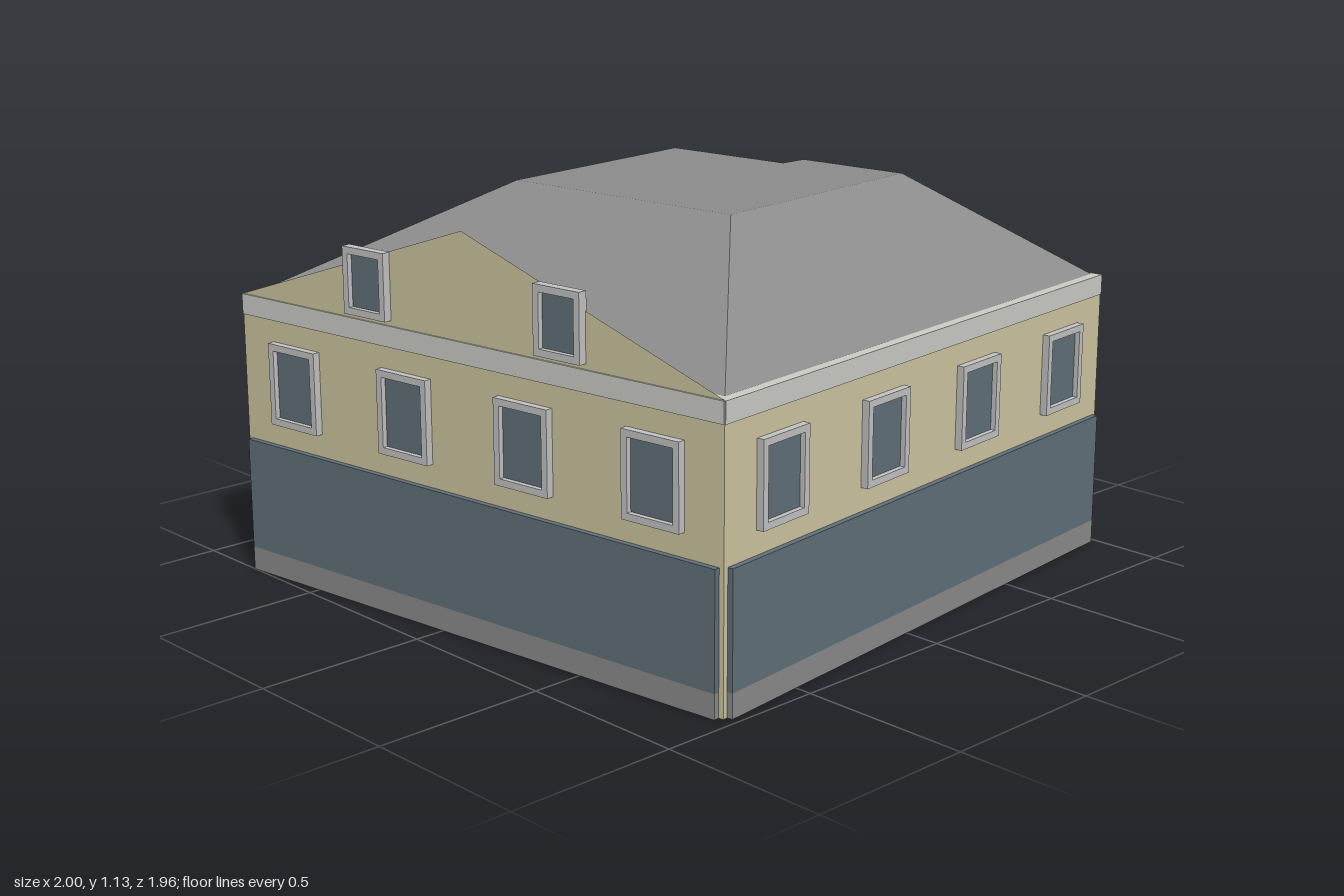
import * as THREE from 'three';

const mat = (name, color, side = THREE.FrontSide) => {
  const m = new THREE.MeshStandardMaterial({ color, side });
  m.name = name;
  return m;
};

export function createModel() {
  const M = {
    wall: mat('cream wall', 0xcfc6a1),
    gable: mat('cream gable', 0xcfc6a1, THREE.DoubleSide),
    trim: mat('pale trim', 0xcdcdc8),
    frame: mat('window frame grey', 0xc4c4c4),
    glass: mat('blue grey glass', 0x62707a),
    roof: mat('slate grey', 0x8c8c8c, THREE.DoubleSide),
  };
  const model = new THREE.Group();
  model.name = 'cornerBuilding';

  const add = (parent, name, geo, material, x = 0, y = 0, z = 0) => {
    const mesh = new THREE.Mesh(geo, material);
    mesh.name = name;
    mesh.position.set(x, y, z);
    parent.add(mesh);
    return mesh;
  };

  // Footprint corners (x, z), walked with the outside on the right
  const D = [-0.78, 0.965], C = [0.995, 0.76], E = [0.905, -0.04];
  const F = [0.7, -0.03], B = [0.6, -0.982], A = [-0.985, -0.795];
  const EAVE = 0.83, RIDGE = 1.13;

  const plan = new THREE.Shape([D, C, E, F, B, A].map(([x, z]) => new THREE.Vector2(x, -z)));
  const slab = (depth) =>
    new THREE.ExtrudeGeometry(plan, { depth, bevelEnabled: false }).rotateX(-Math.PI / 2);
  add(model, 'walls', slab(EAVE - 0.008), M.wall);
  add(model, 'eavesCap', slab(0.008), M.trim, 0, EAVE - 0.008, 0);

  // Hipped roof with a stepped right side, each facet listed by its corners
  const p = (x, z, y = EAVE + 0.001) => [x, y, z];
  const [d, c, e, f, b, a] = [
    p(-0.752, 0.937), p(0.975, 0.737), p(0.892, -0.036), p(0.7, -0.03), p(0.594, -0.955), p(-0.952, -0.775),
  ];
  const [rd, rc, re, rf, rb, ra] = [
    p(-0.22, 0.42, RIDGE), p(0.58, 0.33, RIDGE), p(0.54, -0.03, RIDGE),
    p(0.45, -0.03, RIDGE), p(0.4, -0.45, RIDGE), p(-0.31, -0.37, RIDGE),
  ];
  const facets = [
    [d, c, rc, rd], [c, e, re, rc], [e, f, rf, re], [f, b, rb, rf],
    [b, a, ra, rb], [a, d, rd, ra], [rd, rc, re, rf], [rd, rf, rb, ra],
  ];
  const verts = [];
  for (const q of facets) {
    for (let i = 1; i < q.length - 1; i++) verts.push(...q[0], ...q[i], ...q[i + 1]);
  }
  const roofGeo = new THREE.BufferGeometry();
  roofGeo.setAttribute('position', new THREE.Float32BufferAttribute(verts, 3));
  roofGeo.computeVertexNormals();
  add(model, 'hippedRoof', roofGeo, M.roof);

  // A facade group: local x runs along the wall, local z points outwards
  const facade = (name, P, Q) => {
    const g = new THREE.Group();
    g.name = name;
    g.position.set(P[0], 0, P[1]);
    g.rotation.y = Math.atan2(P[1] - Q[1], Q[0] - P[0]);
    g.userData.length = Math.hypot(Q[0] - P[0], Q[1] - P[1]);
    model.add(g);
    return g;
  };

  // Projecting frame around a recessed pane
  const addWindow = (g, x, y, w, h) => {
    const rect = (T, hw, hh) => new T([
      new THREE.Vector2(-hw, -hh), new THREE.Vector2(hw, -hh),
      new THREE.Vector2(hw, hh), new THREE.Vector2(-hw, hh),
    ]);
    const outline = rect(THREE.Shape, w / 2, h / 2);
    outline.holes.push(rect(THREE.Path, w / 2 - 0.02, h / 2 - 0.02));
    const win = new THREE.Group();
    win.name = 'window';
    win.position.set(x, y, 0);
    g.add(win);
    add(win, 'windowFrame', new THREE.ExtrudeGeometry(outline, { depth: 0.022, bevelEnabled: false }), M.frame);
    add(win, 'windowPane', new THREE.BoxGeometry(w - 0.04, h - 0.04, 0.006), M.glass, 0, 0, 0.004);
    return win;
  };
  const windowRow = (g, n) => {
    for (let i = 0; i < n; i++) addWindow(g, g.userData.length * (i + 0.5) / n, 0.587, 0.19, 0.24);
  };

  // Street facades carry the glazed shopfront, its plinth and a frieze
  const shopfront = (g) => {
    const L = g.userData.length;
    add(g, 'shopGlazing', new THREE.BoxGeometry(L - 0.03, 0.33, 0.018), M.glass, L / 2, 0.235, 0.008);
    add(g, 'shopPlinth', new THREE.BoxGeometry(L - 0.03, 0.07, 0.018), M.roof, L / 2, 0.035, 0.008);
    add(g, 'frieze', new THREE.BoxGeometry(L, 0.06, 0.004), M.trim, L / 2, EAVE - 0.03, 0.001);
  };

  const front = facade('frontFacade', D, C);
  const left = facade('leftFacade', A, D);
  for (const g of [front, left]) {
    windowRow(g, 4);
    shopfront(g);
  }
  windowRow(facade('rightFrontFacade', C, E), 1);
  windowRow(facade('rightBackFacade', F, B), 2);
  windowRow(facade('backFacade', B, A), 3);

  // Thin triangular gable above the left facade, with two attic windows
  const L = left.userData.length;
  const gable = new THREE.Shape([
    new THREE.Vector2(0, EAVE), new THREE.Vector2(L, EAVE), new THREE.Vector2(L / 2, RIDGE),
  ]);
  add(left, 'gable', new THREE.ShapeGeometry(gable), M.gable, 0, 0, -0.002);
  for (const t of [0.3, 0.7]) {
    const win = addWindow(left, L * t, 0.94, 0.16, 0.19);
    win.name = 'atticWindow';
    add(win, 'windowBack', new THREE.BoxGeometry(0.16, 0.19, 0.006), M.frame, 0, 0, -0.003);
  }

  return model;
}
